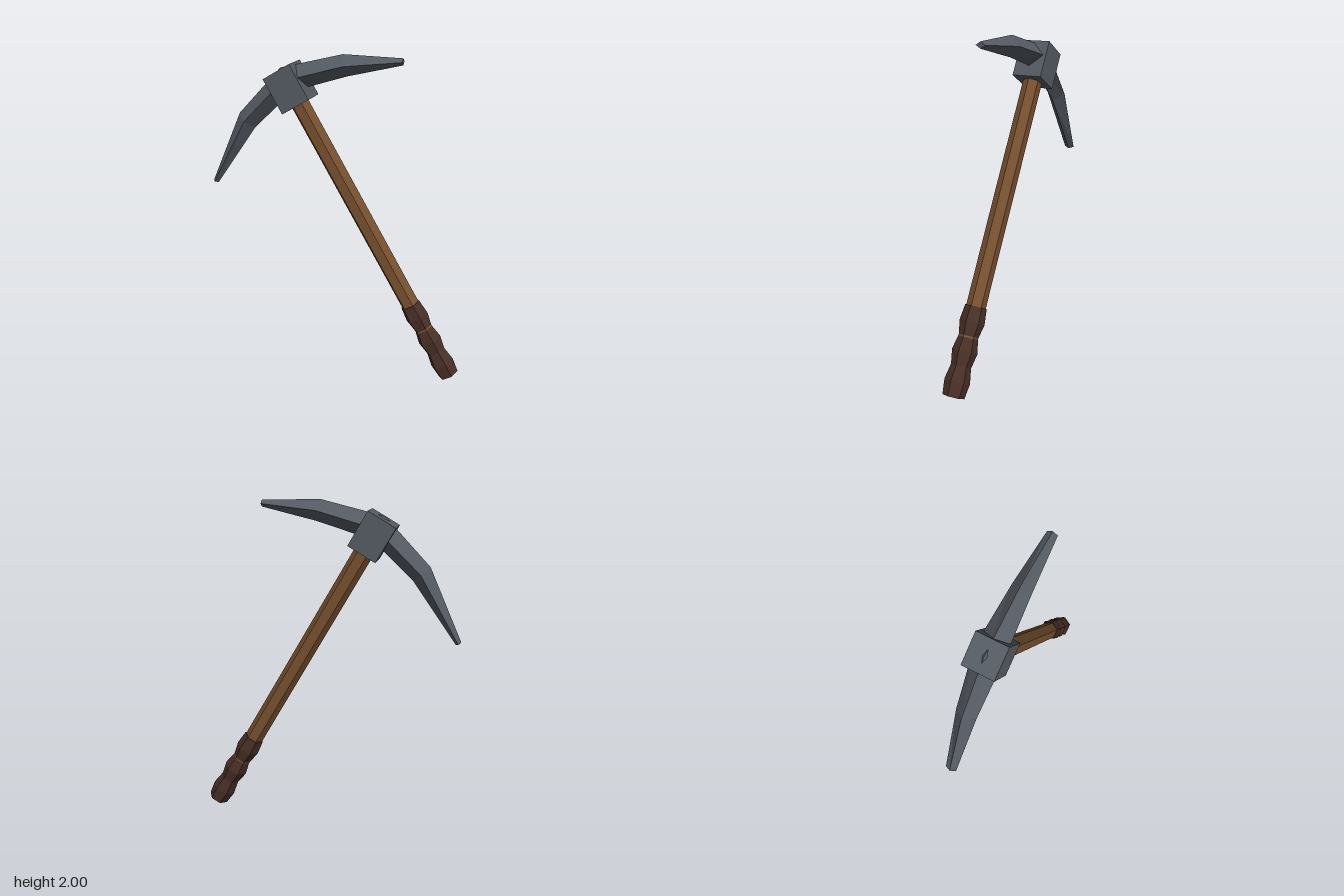
import * as THREE from 'three';

const paint = (name, color) => new THREE.MeshStandardMaterial({ name, color, flatShading: true });

function addMesh(parent, name, geometry, material) {
  const mesh = new THREE.Mesh(geometry, material);
  mesh.name = name;
  parent.add(mesh);
  return mesh;
}

// Six-sided turned part; profile is [radius, height] pairs, bottom to top
function hexLathe(profile) {
  const points = profile.map(([r, y]) => new THREE.Vector2(r, y));
  return new THREE.LatheGeometry(points, 6, Math.PI / 2);
}

// Curved bar with a diamond section.
// Station: [topX, topY, bottomX, bottomY, halfDepth], ordered from -x to +x
function diamondBar(stations) {
  const positions = [];
  const index = [];
  for (const [tx, ty, bx, by, z] of stations) {
    const mx = (tx + bx) / 2, my = (ty + by) / 2;
    positions.push(tx, ty, 0, mx, my, z, bx, by, 0, mx, my, -z);
  }
  const last = (stations.length - 1) * 4;
  for (let i = 0; i < last; i += 4) {
    for (let k = 0; k < 4; k++) {
      const a = i + k, b = i + (k + 1) % 4;
      index.push(a, b, a + 4, b, b + 4, a + 4);
    }
  }
  // end caps
  index.push(0, 2, 1, 0, 3, 2);
  index.push(last, last + 1, last + 2, last, last + 2, last + 3);
  const geometry = new THREE.BufferGeometry();
  geometry.setAttribute('position', new THREE.Float32BufferAttribute(positions, 3));
  geometry.setIndex(index);
  geometry.computeVertexNormals();
  return geometry;
}

export function createModel() {
  const steel = paint('steel', 0x555b63);
  const wood = paint('wood', 0x77502f);
  const leather = paint('dark leather', 0x472f25);

  const model = new THREE.Group();
  model.name = 'pickaxe';

  // The tool is built upright, then leaned over
  const tool = new THREE.Group();
  tool.name = 'leaningTool';
  tool.position.set(0.745, 0.032, 0);
  tool.rotation.z = Math.PI / 6;
  model.add(tool);

  // Wooden shaft
  addMesh(tool, 'handle', hexLathe([[0, 0.02], [0.058, 0.02], [0.058, 2.0], [0, 2.0]]), wood);

  // Grip with three swells
  addMesh(tool, 'grip', hexLathe([
    [0, 0], [0.064, 0], [0.075, 0.088], [0.059, 0.175], [0.075, 0.26],
    [0.057, 0.345], [0.074, 0.43], [0.064, 0.522], [0, 0.522],
  ]), leather);

  // Square block holding the pick
  const block = addMesh(tool, 'headBlock', new THREE.BoxGeometry(0.188, 0.23, 0.188), steel);
  block.position.y = 2.037;

  // Curved pick running through the block
  addMesh(tool, 'pick', diamondBar([
    [-0.762, 1.773, -0.745, 1.742, 0.032],
    [-0.375, 2.053, -0.332, 1.932, 0.06],
    [0, 2.164, 0, 2.01, 0.083],
    [0.375, 2.053, 0.336, 1.932, 0.057],
    [0.673, 1.87, 0.654, 1.836, 0.03],
  ]), steel);

  return model;
}
